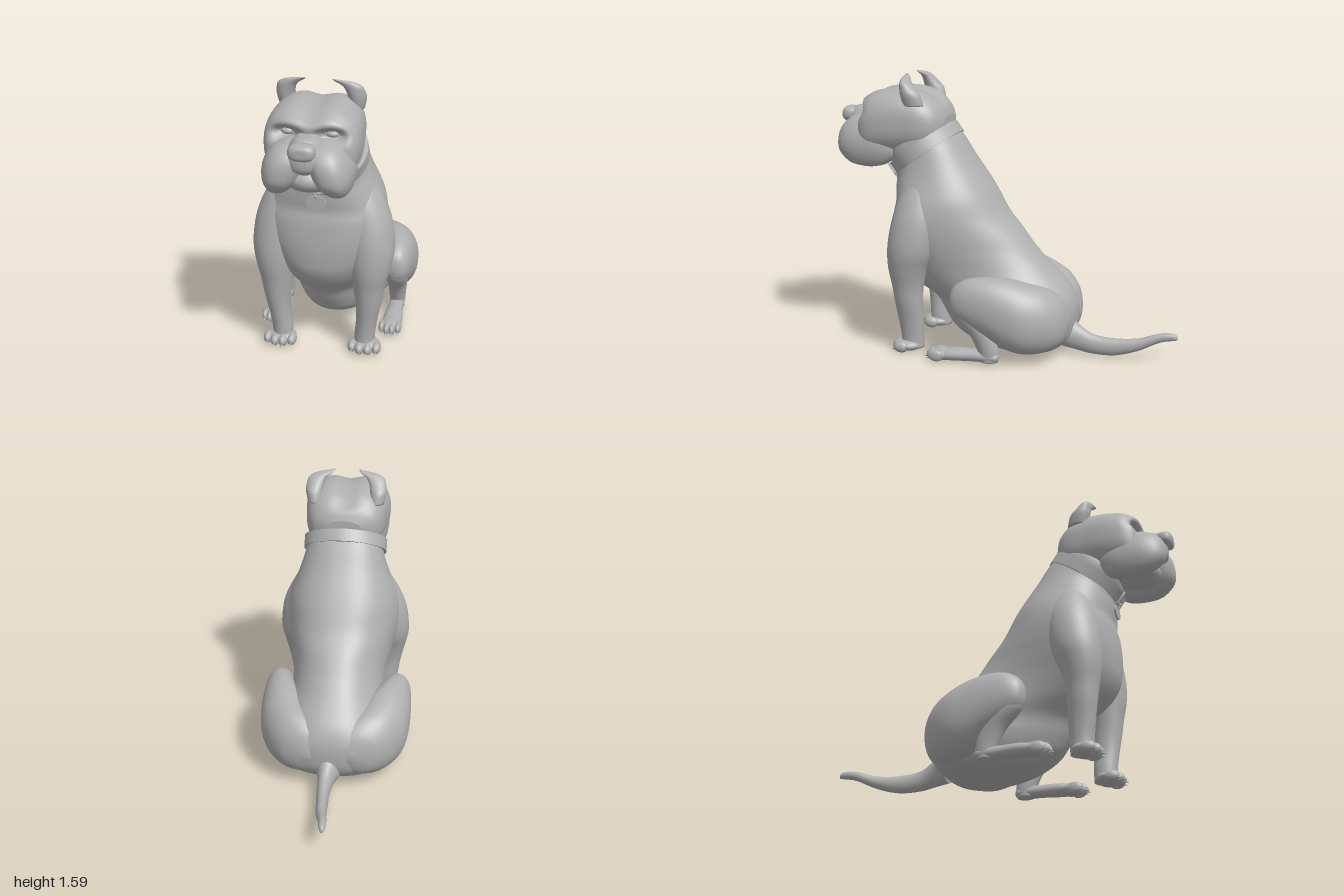
import * as THREE from 'three';
import { toCreasedNormals } from 'three/addons/utils/BufferGeometryUtils.js';

const coat = new THREE.MeshStandardMaterial({ color: 0xb0b0b0 });
coat.name = 'grey';

// Catmull-Rom blend of one section value
const blend = (a, b, c, d, t) =>
  0.5 * (2 * b + (c - a) * t + (2 * a - 5 * b + 4 * c - d) * t * t + (3 * b - a - 3 * c + d) * t * t * t);

// Smooth skin over sections [x, y, z, halfWidth, halfDepth, tilt, skew], ordered upward
// (axis 'y') or forward (axis 'z'). power squares the section, skew widens its front,
// sculpt moves each finished point.
function loft(axis, sections, { power = 2, sides = 40, steps = 5, sculpt } = {}) {
  const pos = [], idx = [], rings = [];
  const last = sections.length - 1;
  const at = (i, k) => sections[Math.min(last, Math.max(0, i))][k] || 0;
  for (let i = 0; i <= last; i++) {
    for (let s = 0; s < (i < last ? steps : 1); s++) {
      rings.push([0, 1, 2, 3, 4, 5, 6].map((k) =>
        blend(at(i - 1, k), at(i, k), at(i + 1, k), at(i + 2, k), s / steps)));
    }
  }
  const put = (...p) => pos.push(...(sculpt ? sculpt(...p) : p));
  const shape = (v) => Math.sign(v) * Math.pow(Math.abs(v), 2 / power);
  for (const [x, y, z, w, d, tilt, skew] of rings) {
    for (let j = 0; j < sides; j++) {
      const a = (j / sides) * Math.PI * 2;
      const c = shape(Math.cos(a)), s = shape(Math.sin(a));
      const u = Math.max(w, 0.002) * c * (1 - skew * s), v = Math.max(d, 0.002) * s;
      if (axis === 'y') put(x + u, y + v * Math.sin(tilt), z - v * Math.cos(tilt));
      else put(x + u, y + v, z);
    }
  }
  for (let i = 0; i < rings.length - 1; i++) {
    for (let j = 0; j < sides; j++) {
      const k = (j + 1) % sides, a = i * sides + j, b = i * sides + k;
      idx.push(a, b, b + sides, a, b + sides, a + sides);
    }
  }
  // End caps
  const first = pos.length / 3, end = (rings.length - 1) * sides;
  put(...rings[0].slice(0, 3));
  put(...rings[rings.length - 1].slice(0, 3));
  for (let j = 0; j < sides; j++) {
    const k = (j + 1) % sides;
    idx.push(first, k, j, first + 1, end + j, end + k);
  }
  const g = new THREE.BufferGeometry();
  g.setAttribute('position', new THREE.Float32BufferAttribute(pos, 3));
  g.setIndex(idx);
  g.computeVertexNormals();
  return g;
}

function add(parent, name, geometry, position = [0, 0, 0], rotation = [0, 0, 0], scale = [1, 1, 1]) {
  const m = new THREE.Mesh(geometry, coat);
  m.name = name;
  m.position.set(...position);
  m.rotation.set(...rotation);
  m.scale.set(...scale);
  parent.add(m);
}

const ball = new THREE.SphereGeometry(1, 28, 20);
const blob = (parent, name, position, radii) => add(parent, name, ball, position, [0, 0, 0], radii);

// Pad, four toes and claws
function paw(parent, name, x, z, spread, length) {
  const g = new THREE.Group();
  g.name = name;
  g.position.set(x, 0, z);
  parent.add(g);
  blob(g, 'pawPad', [0, 0.038, -0.03], [spread * 1.9, 0.037, length * 1.6]);
  for (let i = 0; i < 4; i++) {
    const dx = (i - 1.5) * spread, dz = Math.abs(i - 1.5) > 1 ? -0.02 : 0;
    blob(g, 'toe', [dx, 0.034, dz + 0.02], [spread * 0.58, 0.033, length]);
    add(g, 'claw', new THREE.ConeGeometry(0.009, 0.03, 10), [dx, 0.02, dz + 0.02 + length], [1.95, 0, 0]);
  }
}

// Eye sockets and the furrow along the forehead
function sculptHead(x, y, z) {
  const socket = Math.exp(-(((Math.abs(x) - 0.12) / 0.075) ** 2) - ((y - 1.372) / 0.036) ** 2);
  const furrow = Math.exp(-((x / 0.07) ** 2)) * THREE.MathUtils.smoothstep(y, 1.38, 1.47);
  return [x, y - 0.028 * furrow, z - 0.07 * socket * THREE.MathUtils.smoothstep(z, 0.7, 0.8)];
}

export function createModel() {
  const dog = new THREE.Group();
  dog.name = 'sittingDog';

  // Torso and neck, broad at the rump and chest
  add(dog, 'torso', loft('y', [
    [0, 0.035, -0.1, 0.18, 0.2, 0, -0.3], [0, 0.06, -0.07, 0.23, 0.28, 0, -0.33],
    [0, 0.12, -0.045, 0.265, 0.355, 0, -0.35], [0, 0.2, -0.025, 0.285, 0.392, 0, -0.35],
    [0, 0.3, 0.008, 0.28, 0.42, 0, -0.28], [0, 0.4, 0.105, 0.27, 0.47, 0, -0.08],
    [0, 0.5, 0.19, 0.275, 0.453, 0, 0.12], [0, 0.6, 0.245, 0.295, 0.415, 0, 0.24],
    [0, 0.7, 0.285, 0.315, 0.375, 0, 0.27], [0, 0.8, 0.325, 0.325, 0.325, 0, 0.22],
    [0, 0.9, 0.357, 0.312, 0.28, 0.1, 0.14], [0, 1.02, 0.42, 0.265, 0.237, 0.35, 0.06],
    [0, 1.1, 0.458, 0.235, 0.22, 0.55], [0, 1.155, 0.485, 0.224, 0.208, 0.62],
    [0, 1.22, 0.53, 0.218, 0.195, 0.62], [0, 1.3, 0.58, 0.19, 0.15, 0.62],
  ], { power: 2.35, sides: 64 }));

  // Tail
  add(dog, 'tail', loft('z', [
    [-0.03, 0.135, -1, 0.006, 0.008], [-0.028, 0.143, -0.98, 0.017, 0.02], [-0.02, 0.133, -0.9, 0.023, 0.027],
    [0, 0.088, -0.78, 0.029, 0.037], [0.012, 0.065, -0.65, 0.033, 0.05], [0.018, 0.072, -0.52, 0.038, 0.058],
    [0.012, 0.105, -0.43, 0.052, 0.078], [0, 0.15, -0.34, 0.09, 0.11],
  ], { sides: 24 }));

  // Skull
  add(dog, 'head', loft('z', [
    [0, 1.3, 0.345, 0.1, 0.05], [0, 1.3, 0.38, 0.18, 0.12], [0, 1.31, 0.45, 0.222, 0.175],
    [0, 1.318, 0.55, 0.24, 0.197], [0, 1.313, 0.65, 0.25, 0.202], [0, 1.302, 0.74, 0.248, 0.2],
    [0, 1.292, 0.79, 0.236, 0.188], [0, 1.29, 0.823, 0.212, 0.17], [0, 1.295, 0.839, 0.165, 0.137],
    [0, 1.3, 0.846, 0.085, 0.075], [0, 1.3, 0.848, 0.01, 0.01],
  ], { power: 2.5, sides: 72, steps: 9, sculpt: sculptHead }));

  // Upper muzzle, chin and nose
  add(dog, 'muzzle', loft('y', [
    [0, 1.205, 0.85, 0.05, 0.09], [0, 1.235, 0.85, 0.098, 0.115], [0, 1.29, 0.85, 0.112, 0.118],
    [0, 1.345, 0.85, 0.082, 0.105], [0, 1.375, 0.85, 0.055, 0.085], [0, 1.386, 0.85, 0.03, 0.06],
  ], { power: 2.3 }));
  blob(dog, 'chin', [0, 1.145, 0.8], [0.13, 0.075, 0.12]);
  add(dog, 'nose', loft('z', [
    [0, 1.335, 0.9, 0.055, 0.035], [0, 1.335, 0.945, 0.07, 0.043],
    [0, 1.334, 0.98, 0.066, 0.042], [0, 1.334, 0.998, 0.042, 0.026], [0, 1.334, 1, 0.01, 0.006],
  ], { power: 2.6, sides: 28 }));

  for (const s of [1, -1]) {
    const side = s > 0 ? 'left' : 'right';

    // Jowl, eye and nostril
    add(dog, side + 'Jowl', loft('y', [
      [s * 0.155, 1.056, 0.785, 0.015, 0.03], [s * 0.154, 1.078, 0.785, 0.055, 0.115],
      [s * 0.138, 1.14, 0.785, 0.095, 0.182], [s * 0.123, 1.21, 0.785, 0.112, 0.193],
      [s * 0.105, 1.275, 0.785, 0.108, 0.178], [s * 0.088, 1.325, 0.785, 0.085, 0.135],
      [s * 0.07, 1.35, 0.785, 0.045, 0.08], [s * 0.06, 1.358, 0.785, 0.01, 0.02],
    ], { power: 2.45 }));
    blob(dog, side + 'Eye', [s * 0.115, 1.374, 0.775], [0.034, 0.019, 0.026]);
    add(dog, side + 'Eyelid', new THREE.TorusGeometry(0.036, 0.008, 10, 28),
      [s * 0.115, 1.374, 0.78], [0, s * 0.2, s * 0.1], [1, 0.6, 1]);
    add(dog, side + 'Nostril', new THREE.TorusGeometry(0.019, 0.006, 10, 24), [s * 0.033, 1.334, 0.988]);

    // Ear folding inward to its tip
    add(dog, side + 'Ear', loft('y', [
      [s * 0.18, 1.42, 0.495, 0.045, 0.06], [s * 0.188, 1.48, 0.51, 0.049, 0.058],
      [s * 0.182, 1.52, 0.53, 0.05, 0.043], [s * 0.168, 1.55, 0.545, 0.052, 0.03],
      [s * 0.132, 1.572, 0.557, 0.048, 0.018], [s * 0.078, 1.588, 0.572, 0.01, 0.005],
    ], { sides: 28 }));

    // Shoulder and front leg
    add(dog, side + 'FrontLeg', loft('y', [
      [s * 0.232, 0.02, 0.5, 0.058, 0.065], [s * 0.235, 0.1, 0.5, 0.057, 0.067],
      [s * 0.247, 0.2, 0.505, 0.06, 0.074], [s * 0.256, 0.3, 0.512, 0.072, 0.082],
      [s * 0.258, 0.4, 0.515, 0.087, 0.093], [s * 0.262, 0.5, 0.51, 0.108, 0.115],
      [s * 0.262, 0.6, 0.49, 0.127, 0.138], [s * 0.254, 0.7, 0.475, 0.131, 0.143],
      [s * 0.235, 0.8, 0.462, 0.13, 0.138], [s * 0.205, 0.9, 0.45, 0.118, 0.125],
      [s * 0.16, 1, 0.44, 0.1, 0.1], [s * 0.11, 1.08, 0.44, 0.06, 0.06],
    ], { sides: 36 }));
    paw(dog, side + 'FrontPaw', s * 0.24, 0.545, 0.045, 0.045);

    // Haunch, shin and hind foot
    add(dog, side + 'Thigh', loft('z', [
      [s * 0.13, 0.225, -0.412, 0.02, 0.02], [s * 0.14, 0.228, -0.395, 0.09, 0.085],
      [s * 0.16, 0.233, -0.365, 0.135, 0.135], [s * 0.205, 0.246, -0.3, 0.157, 0.178],
      [s * 0.26, 0.262, -0.2, 0.158, 0.2], [s * 0.29, 0.29, -0.1, 0.146, 0.202],
      [s * 0.32, 0.328, 0, 0.118, 0.174], [s * 0.343, 0.355, 0.11, 0.088, 0.138],
      [s * 0.345, 0.36, 0.18, 0.07, 0.1], [s * 0.345, 0.36, 0.212, 0.045, 0.062],
      [s * 0.345, 0.36, 0.223, 0.01, 0.015],
    ], { power: 2.15 }));
    add(dog, side + 'Shin', loft('y', [
      [s * 0.335, 0.015, 0, 0.04, 0.05], [s * 0.335, 0.08, 0.005, 0.046, 0.062],
      [s * 0.34, 0.18, 0.045, 0.054, 0.072], [s * 0.345, 0.28, 0.118, 0.066, 0.088],
      [s * 0.345, 0.37, 0.145, 0.06, 0.065],
    ], { sides: 28 }));
    add(dog, side + 'HindFoot', loft('z', [
      [s * 0.335, 0.045, -0.06, 0.015, 0.015], [s * 0.335, 0.045, -0.03, 0.04, 0.032],
      [s * 0.338, 0.046, 0.1, 0.045, 0.036], [s * 0.343, 0.042, 0.22, 0.055, 0.037],
      [s * 0.345, 0.035, 0.3, 0.045, 0.025],
    ], { sides: 28 }));
    paw(dog, side + 'HindPaw', s * 0.342, 0.3, 0.031, 0.045);
  }

  // Collar band with buckle
  const collar = new THREE.Group();
  collar.name = 'collar';
  collar.position.set(0, 1.155, 0.487);
  collar.rotation.x = 0.62;
  dog.add(collar);
  const band = [[1, -0.036], [1, 0.036], [0.9, 0.036], [0.9, -0.036], [1, -0.036]]
    .map(([r, y]) => new THREE.Vector2(r, y));
  add(collar, 'band', toCreasedNormals(new THREE.LatheGeometry(band, 64).scale(0.245, 1, 0.228), 0.6));
  add(collar, 'strapEnd', new THREE.BoxGeometry(0.1, 0.056, 0.014), [0.115, 0, 0.207], [0, 0.46, 0]);
  add(collar, 'strapLoop', new THREE.BoxGeometry(0.018, 0.08, 0.024), [0.085, 0, 0.216], [0, 0.35, 0]);
  add(collar, 'buckle', new THREE.TorusGeometry(0.046, 0.007, 10, 4).rotateZ(Math.PI / 4),
    [0.035, 0, 0.233], [0, 0.15, 0], [1, 1.25, 1]);
  add(collar, 'bucklePin', new THREE.CylinderGeometry(0.005, 0.005, 0.075, 10), [0.035, 0, 0.235], [0, 0.15, 1.57]);

  // Hanging tag
  add(dog, 'tagRing', new THREE.TorusGeometry(0.016, 0.004, 10, 24), [0, 0.98, 0.66], [0, Math.PI / 2, 0]);
  add(dog, 'tag', new THREE.CylinderGeometry(0.055, 0.055, 0.009, 36),
    [0, 0.932, 0.658], [Math.PI / 2, 0, 0], [1, 1, 0.72]);

  return dog;
}
